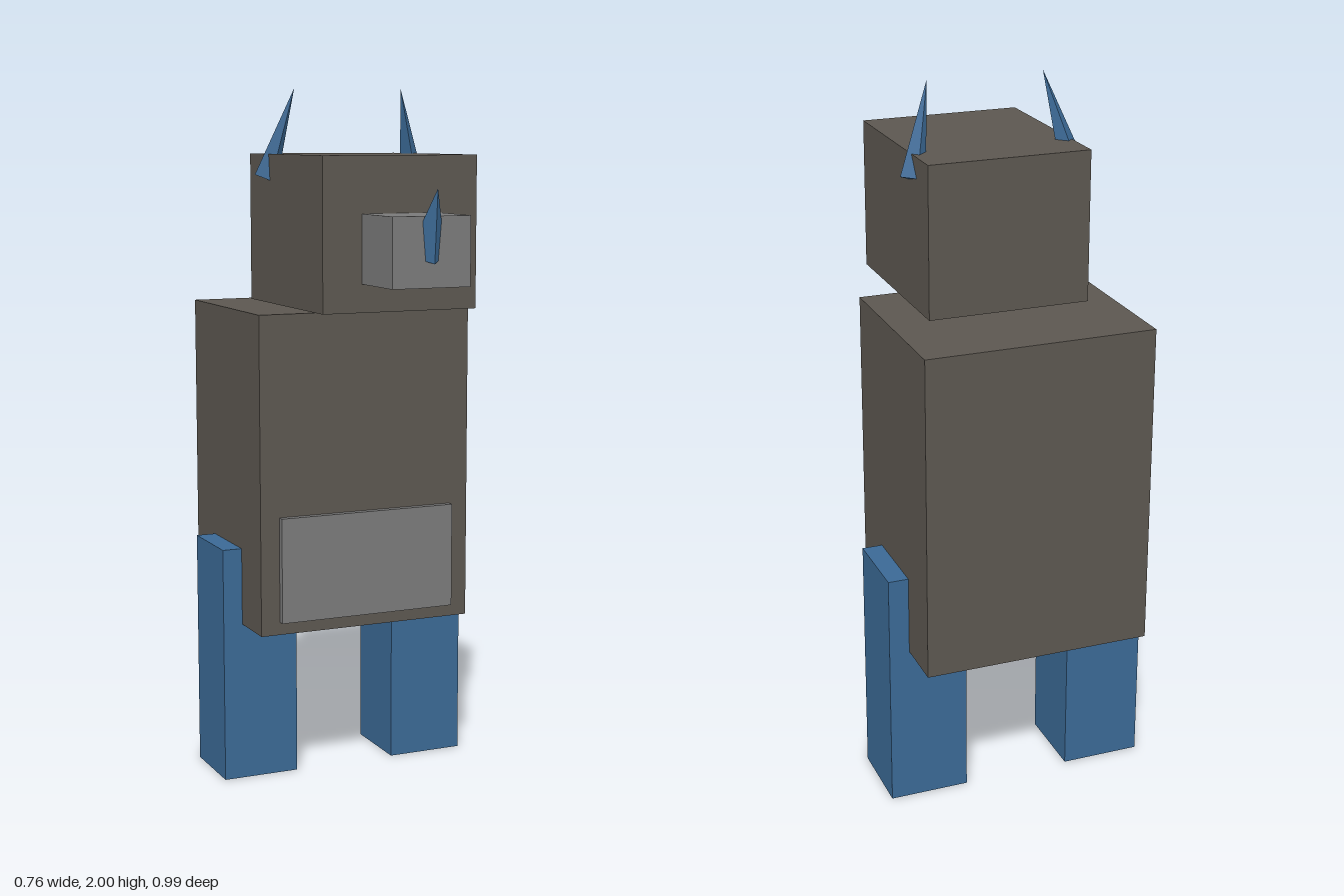
import * as THREE from 'three';

const material = (color) => new THREE.MeshStandardMaterial({ color, flatShading: true });

export function createModel() {
  const model = new THREE.Group();
  const brown = material(0x5c5750);
  const grey = material(0x7a7a7a);
  const blue = material(0x3b6995);

  const add = (name, geometry, mat, x, y, z) => {
    const mesh = new THREE.Mesh(geometry, mat);
    mesh.name = name;
    mesh.position.set(x, y, z);
    model.add(mesh);
    return mesh;
  };
  // Box given by its width, centre x and its y and z ranges
  const box = (name, mat, x, width, [y0, y1], [z0, z1]) =>
    add(name, new THREE.BoxGeometry(width, y1 - y0, z1 - z0), mat, x, (y0 + y1) / 2, (z0 + z1) / 2);
  // Four-sided spike, tilted forwards and sideways
  const spike = (name, radius, height, x, y, z, tiltX, tiltZ) =>
    add(name, new THREE.ConeGeometry(radius, height, 4), blue, x, y, z).rotation.set(tiltX, 0, tiltZ);

  // Torso and belly panel
  box('body', brown, 0, 0.648, [0.465, 1.38], [-0.495, 0.04]);
  box('bellyPatch', grey, 0, 0.535, [0.502, 0.805], [0.02, 0.06]);

  // Head and snout
  box('head', brown, 0, 0.458, [1.398, 1.818], [-0.266, 0.269]);
  box('snout', grey, 0, 0.228, [1.475, 1.663], [0.262, 0.46]);
  spike('noseHorn', 0.056, 0.189, 0, 1.647, 0.459, 0.37, 0);

  // Mirrored legs and head horns
  for (const [side, s] of [['left', 1], ['right', -1]]) {
    box(side + 'Leg', blue, s * 0.268, 0.227, [0, 0.69], [-0.342, -0.115]);
    spike(side + 'Horn', 0.036, 0.263, s * 0.196, 1.876, -0.114, 0.24, s * 0.24);
  }
  return model;
}
